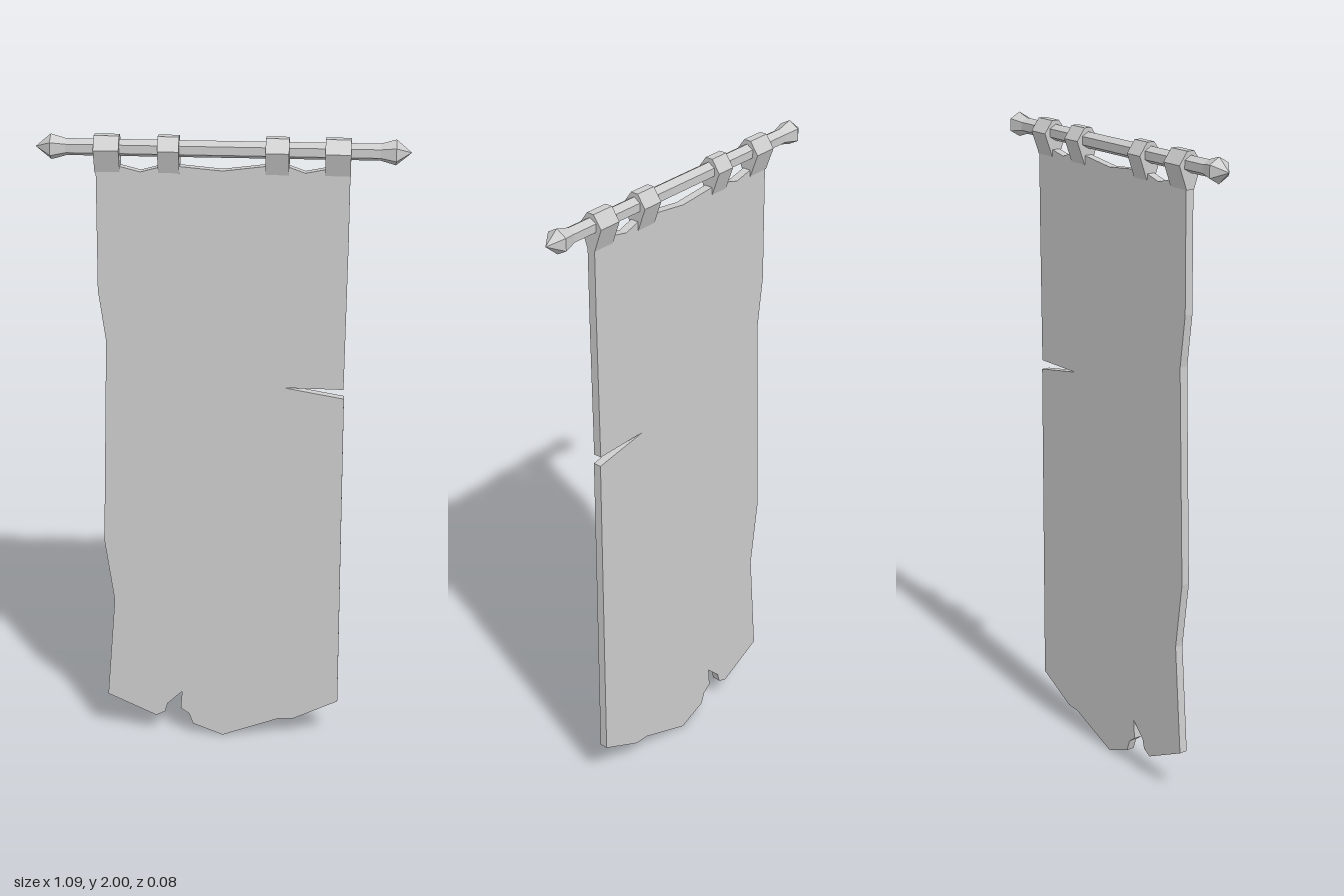
import * as THREE from 'three';

const POLE_Y = 1.963;

const toShape = (pts) => new THREE.Shape(pts.map(([x, y]) => new THREE.Vector2(x, y)));

export function createModel() {
  const group = new THREE.Group();
  const grey = new THREE.MeshStandardMaterial({ color: 0xcccccc });
  grey.name = 'lightGrey';

  const add = (name, geometry) => {
    const mesh = new THREE.Mesh(geometry, grey);
    mesh.name = name;
    group.add(mesh);
    return mesh;
  };

  // Hanging cloth with frayed edges, a side slit and a torn pointed hem
  const outline = [
    [-0.37, 1.905], [-0.3, 1.91], [-0.24, 1.895], [-0.185, 1.91], [-0.125, 1.913],
    [0, 1.902], [0.125, 1.918], [0.19, 1.918], [0.24, 1.9], [0.3, 1.912], [0.37, 1.905],
    [0.37, 1.69], [0.366, 1.23], [0.185, 1.232], [0.368, 1.2], [0.372, 0.145],
    [0.23, 0.075], [0.18, 0.072], [0, 0.004],
    [-0.097, 0.043], [-0.11, 0.08], [-0.137, 0.1], [-0.132, 0.162],
    [-0.18, 0.115], [-0.188, 0.085], [-0.217, 0.07],
    [-0.373, 0.145], [-0.345, 0.49], [-0.373, 0.7], [-0.352, 1.37], [-0.373, 1.53],
  ];
  const cloth = new THREE.ExtrudeGeometry(toShape(outline), { depth: 0.026, bevelEnabled: false });
  add('cloth', cloth.translate(0, 0, -0.013));

  // Six-sided pole with a flared, pointed finial at both ends
  const profile = [
    [0, -0.545], [0.038, -0.5], [0.025, -0.455],
    [0.025, 0.455], [0.038, 0.5], [0, 0.545],
  ].map(([r, y]) => new THREE.Vector2(r, y));
  const pole = new THREE.LatheGeometry(profile, 6).toNonIndexed();
  pole.computeVertexNormals();
  // phi 90 degrees puts one long edge of the hexagon on top
  pole.rotateY(Math.PI / 2).rotateZ(Math.PI / 2).translate(0, POLE_Y, 0);
  add('pole', pole);

  // Straps folded over the pole and narrowing down into the cloth
  const section = [
    [-0.013, 1.89], [0.013, 1.89], [0.039, 1.962],
    [0.012, 2.0], [-0.012, 2.0], [-0.039, 1.962],
  ];
  const straps = [[-0.374, -0.3], [-0.188, -0.126], [0.125, 0.193], [0.297, 0.371]];
  straps.forEach(([x0, x1], i) => {
    const strap = new THREE.ExtrudeGeometry(toShape(section), { depth: x1 - x0, bevelEnabled: false });
    add('strap' + (i + 1), strap.rotateY(Math.PI / 2).translate(x0, 0, -0.001));
  });

  return group;
}
